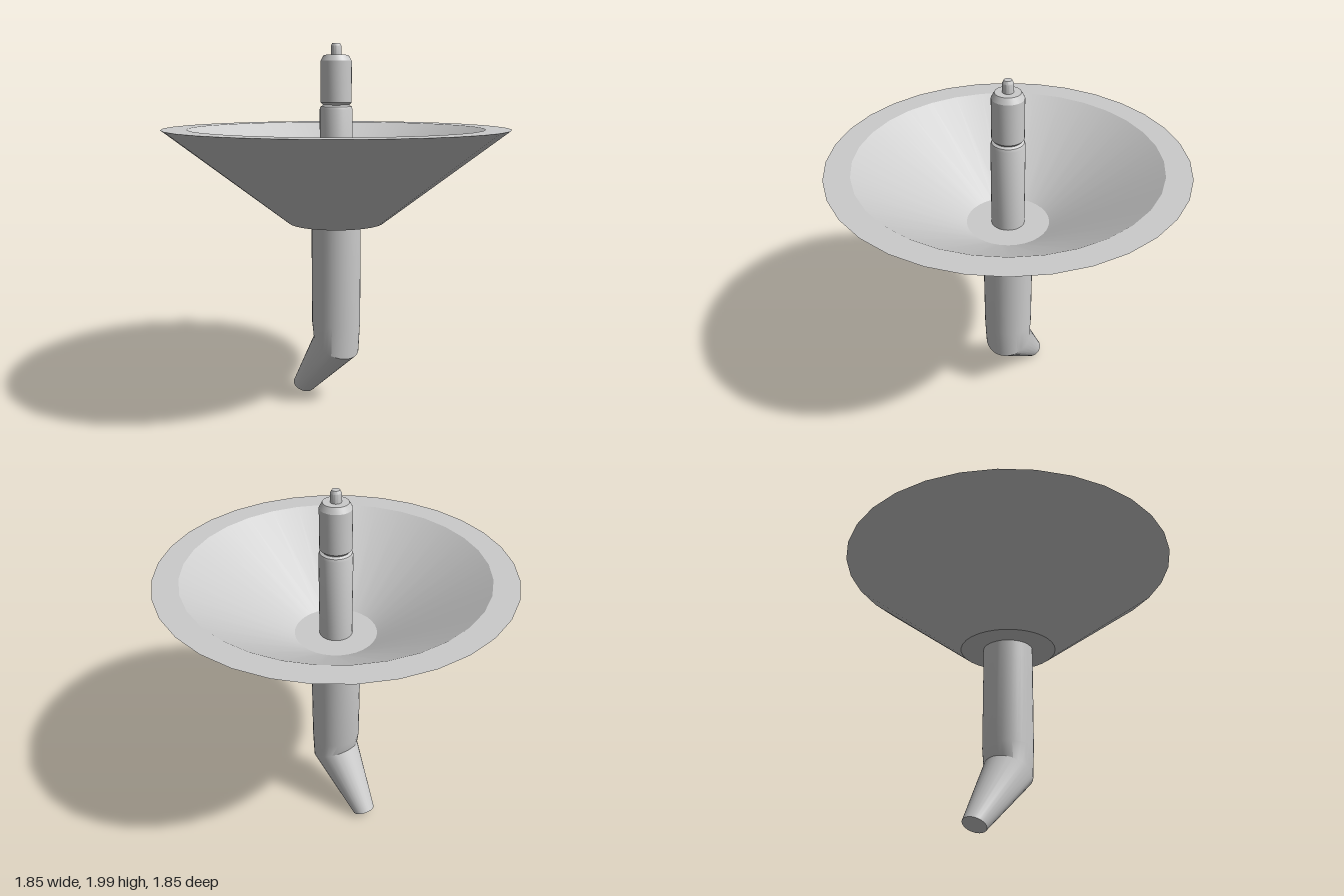
import * as THREE from 'three';
import { toCreasedNormals } from 'three/addons/utils/BufferGeometryUtils.js';

const SIDES = 32;
const CREASE = 0.5;
const material = new THREE.MeshStandardMaterial({ color: 0xcccccc });

function addMesh(group, name, geometry) {
  const mesh = new THREE.Mesh(toCreasedNormals(geometry, CREASE), material);
  mesh.name = name;
  group.add(mesh);
}

// Turned part from [radius, height] pairs, listed bottom to top on the outside
function turned(profile) {
  return new THREE.LatheGeometry(profile.map(([r, y]) => new THREE.Vector2(r, y)), SIDES);
}

// Tube through circular rings, bottom to top, each tilted about x; both ends capped
function loft(rings) {
  const positions = [], index = [];
  for (const { y, z, r, tilt } of rings) {
    for (let j = 0; j < SIDES; j++) {
      const a = (j / SIDES) * Math.PI * 2;
      const f = r * Math.cos(a);
      positions.push(r * Math.sin(a), y - f * Math.sin(tilt), z + f * Math.cos(tilt));
    }
  }
  for (let i = 0; i < rings.length - 1; i++) {
    for (let j = 0; j < SIDES; j++) {
      const a = i * SIDES + j, b = i * SIDES + (j + 1) % SIDES;
      index.push(a, b, b + SIDES, a, b + SIDES, a + SIDES);
    }
  }
  const top = (rings.length - 1) * SIDES;
  for (let j = 1; j < SIDES - 1; j++) {
    index.push(0, j + 1, j, top, top + j, top + j + 1);
  }
  const geometry = new THREE.BufferGeometry();
  geometry.setAttribute('position', new THREE.Float32BufferAttribute(positions, 3));
  geometry.setIndex(index);
  return geometry;
}

export function createModel() {
  const group = new THREE.Group();
  group.name = 'funnelWithSpout';

  // Thick-walled conical bowl with a flat rim and floor
  addMesh(group, 'bowl', turned([
    [0, 1.045], [0.26, 1.045], [0.923, 1.555], [0.79, 1.555], [0.22, 1.19], [0, 1.19],
  ]));

  // Stem that bends backwards into a tapered spout
  addMesh(group, 'stemAndSpout', loft([
    { y: 0.034, z: -0.265, r: 0.063, tilt: 0.47 },
    { y: 0.35, z: 0.001, r: 0.133, tilt: 0.47 },
    { y: 0.48, z: 0, r: 0.135, tilt: 0 },
    { y: 1.05, z: 0, r: 0.135, tilt: 0 },
  ]));

  // Central post rising from the bowl floor
  addMesh(group, 'post', turned([
    [0, 1.18], [0.088, 1.18], [0.088, 1.655], [0.083, 1.67], [0.07, 1.678], [0, 1.678],
  ]));

  // Chamfered cap above the neck groove
  addMesh(group, 'cap', turned([
    [0, 1.676], [0.068, 1.676], [0.083, 1.692], [0.083, 1.908], [0.066, 1.938], [0, 1.938],
  ]));

  // Small pin at the tip
  addMesh(group, 'pin', turned([
    [0, 1.93], [0.028, 1.93], [0.028, 1.985], [0.02, 2], [0, 2],
  ]));

  return group;
}
